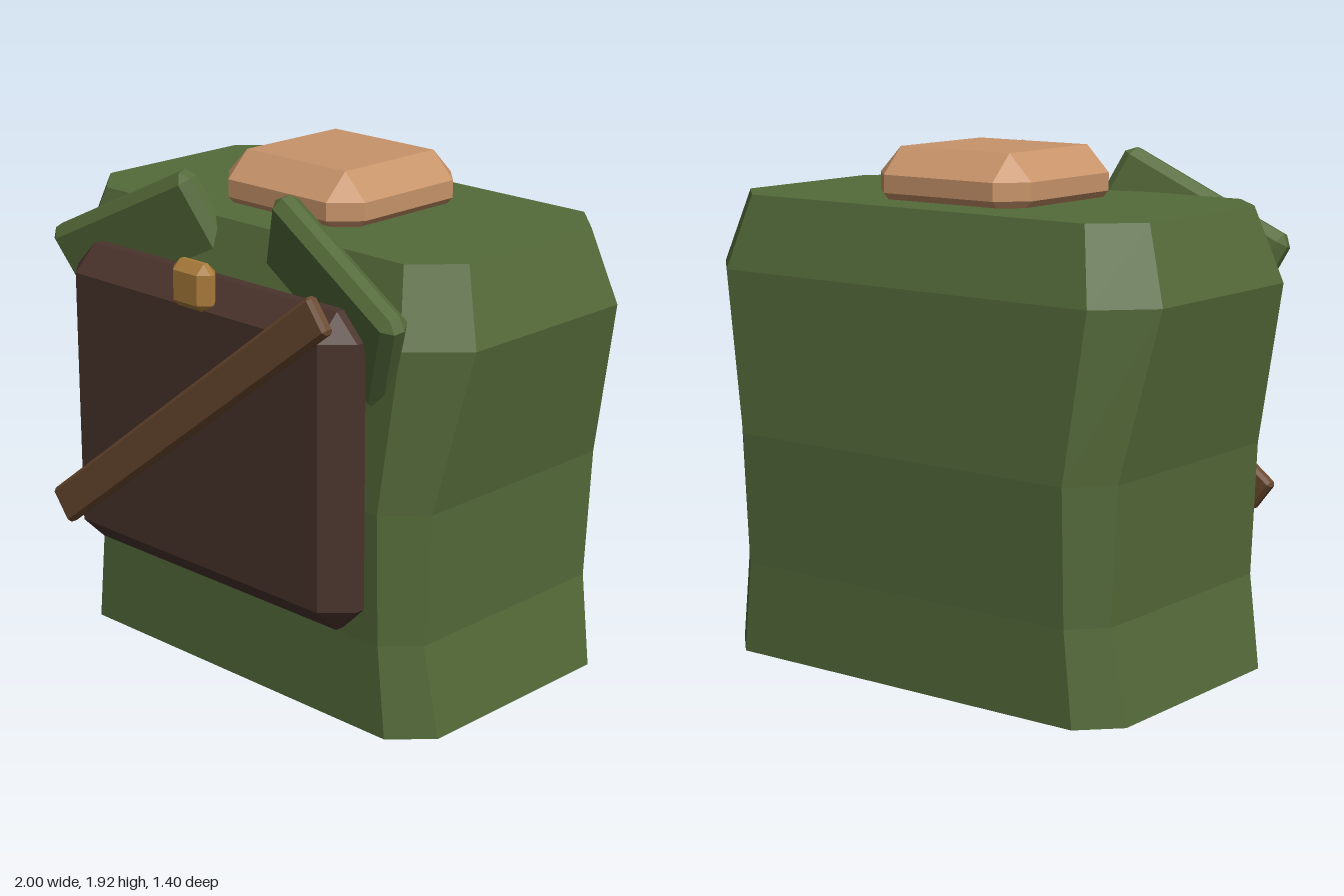
import * as THREE from 'three';
import { ConvexGeometry } from 'three/addons/geometries/ConvexGeometry.js';

const mat = (name, color) => {
  const m = new THREE.MeshStandardMaterial({ color });
  m.name = name;
  return m;
};

// Box with every edge and corner cut flat
function chamferBox(w, h, d, c) {
  const pts = [];
  for (const x of [-1, 1]) for (const y of [-1, 1]) for (const z of [-1, 1]) {
    const X = x * w / 2, Y = y * h / 2, Z = z * d / 2;
    pts.push(
      new THREE.Vector3(X, Y - y * c, Z - z * c),
      new THREE.Vector3(X - x * c, Y, Z - z * c),
      new THREE.Vector3(X - x * c, Y - y * c, Z));
  }
  return new ConvexGeometry(pts);
}

// Faceted loft through cut-corner rectangles: [y, half width, front z, back z, corner cut]
function loft(sections) {
  const rings = sections.map(([y, w, f, b, c]) => [
    [w - c, f], [w, f - c], [w, b + c], [w - c, b],
    [c - w, b], [-w, b + c], [-w, f - c], [c - w, f],
  ].map(([x, z]) => [x, y, z]));
  const pos = [];
  const tri = (...p) => p.forEach((q) => pos.push(...q));
  for (let i = 0; i < rings.length - 1; i++) {
    for (let j = 0; j < 8; j++) {
      const k = (j + 1) % 8, lo = rings[i], hi = rings[i + 1];
      tri(lo[j], lo[k], hi[k]);
      tri(lo[j], hi[k], hi[j]);
    }
  }
  const bottom = rings[0], top = rings[rings.length - 1];
  for (let j = 1; j < 7; j++) {
    tri(top[0], top[j], top[j + 1]);
    tri(bottom[0], bottom[j + 1], bottom[j]);
  }
  const g = new THREE.BufferGeometry();
  g.setAttribute('position', new THREE.Float32BufferAttribute(pos, 3));
  g.computeVertexNormals();
  return g;
}

// Orient a mesh so its length follows u and its width follows v
function orient(mesh, u, v) {
  u.normalize();
  const n = u.clone().cross(v).normalize();
  v = n.clone().cross(u);
  mesh.quaternion.setFromRotationMatrix(new THREE.Matrix4().makeBasis(u, v, n));
}

export function createModel() {
  const green = mat('olive cloth', 0x556b3a);
  const dark = mat('dark leather', 0x4a332c);
  const brown = mat('strap leather', 0x6b4a30);
  const brass = mat('brass', 0xa87b3a);
  const skin = mat('skin', 0xc8946a);

  const model = new THREE.Group();
  model.name = 'torso';
  const add = (name, geometry, material, x = 0, y = 0, z = 0) => {
    const m = new THREE.Mesh(geometry, material);
    m.name = name;
    m.position.set(x, y, z);
    model.add(m);
    return m;
  };

  // Tunic body, waisted and broad at the shoulders
  add('body', loft([
    [0, 0.9, 0.445, -0.68, 0.135],
    [0.35, 0.845, 0.445, -0.68, 0.115],
    [0.85, 0.87, 0.46, -0.7, 0.135],
    [1.455, 1, 0.445, -0.68, 0.18],
    [1.73, 0.91, 0.36, -0.605, 0.155],
  ]), green);

  // Neck stump
  add('neck', chamferBox(0.69, 0.26, 0.66, 0.097), skin, 0, 1.788, -0.12);

  // Chest plate with its clasp
  add('chestPlate', chamferBox(1.43, 1.165, 0.23, 0.095), dark, 0, 0.9925, 0.52);
  add('clasp', chamferBox(0.19, 0.18, 0.09, 0.035), brass, 0, 1.555, 0.615);

  // Diagonal shoulder belt
  const belt = add('diagonalBelt', chamferBox(1.7, 0.145, 0.05, 0.013), brown, -0.02, 1.075, 0.659);
  orient(belt, new THREE.Vector3(1.335, 1.04, -0.025), new THREE.Vector3(-1.04, 1.335, 0));

  // Slanted collar boards, mirrored
  for (const s of [1, -1]) {
    const board = add(s > 0 ? 'leftCollar' : 'rightCollar',
      chamferBox(0.735, 0.42, 0.11, 0.035), green, s * 0.478, 1.555, 0.41);
    orient(board, new THREE.Vector3(s * 0.655, -0.325, 0.1), new THREE.Vector3(-s * 0.4, -0.87, -0.27));
  }
  return model;
}
